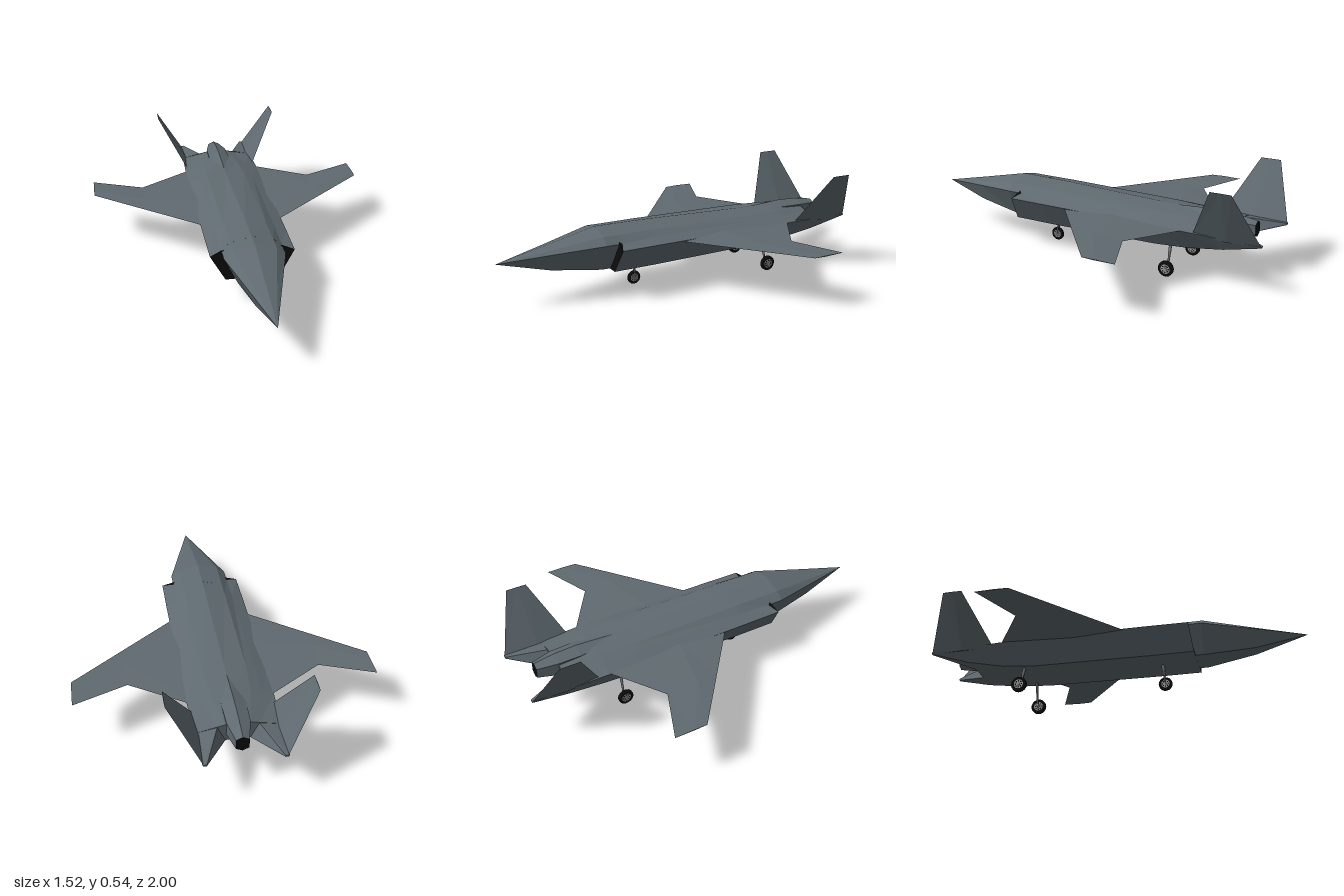
import * as THREE from 'three';

const mat = (name, color) => {
  const m = new THREE.MeshStandardMaterial({ color });
  m.name = name;
  return m;
};

// Joins rings of [x, y, z] points. Rings run clockwise when looking along the loft.
// Materials: [sides, start cap, end cap]. mirror = -1 flips the part in x.
function loft(name, rings, mats, mirror = 1) {
  const pos = [];
  const tri = (...p) => {
    if (mirror < 0) p.reverse();
    p.forEach(([x, y, z]) => pos.push(x * mirror, y, z));
  };
  const g = new THREE.BufferGeometry();
  const n = rings[0].length;
  for (let r = 0; r < rings.length - 1; r++) {
    const A = rings[r], B = rings[r + 1];
    for (let i = 0; i < n; i++) {
      const j = (i + 1) % n;
      tri(A[i], A[j], B[j]);
      tri(A[i], B[j], B[i]);
    }
  }
  const sides = pos.length / 3;
  const first = rings[0], last = rings[rings.length - 1];
  for (let i = 1; i < n - 1; i++) tri(first[0], first[i + 1], first[i]);
  for (let i = 1; i < n - 1; i++) tri(last[0], last[i], last[i + 1]);
  const cap = (n - 2) * 3;
  g.addGroup(0, sides, 0);
  g.addGroup(sides, cap, 1);
  g.addGroup(sides + cap, cap, 2);
  g.setAttribute('position', new THREE.Float32BufferAttribute(pos, 3));
  g.computeVertexNormals();
  const mesh = new THREE.Mesh(g, mats);
  mesh.name = name;
  return mesh;
}

// Full symmetric ring from a right-hand half profile (centre top to centre bottom)
function ring(z, half) {
  const right = half.map(([x, y, dz = 0]) => [x, y, z + dz]);
  const left = right.slice(1, -1).reverse().map(([x, y, zz]) => [-x, y, zz]);
  return [...right, ...left];
}

function rod(name, a, b, r0, r1, material) {
  const A = new THREE.Vector3(...a), B = new THREE.Vector3(...b);
  const m = new THREE.Mesh(new THREE.CylinderGeometry(r0, r1, A.distanceTo(B), 10), material);
  m.position.copy(A).add(B).multiplyScalar(0.5);
  m.quaternion.setFromUnitVectors(new THREE.Vector3(0, 1, 0), A.sub(B).normalize());
  m.name = name;
  return m;
}

export function createModel() {
  const model = new THREE.Group();
  model.name = 'jet';
  const skin = mat('slate skin', 0x5f6a70);
  const black = mat('black', 0x0c0c0d);
  const metal = mat('strut metal', 0x6c7275);
  const rim = mat('wheel rim', 0x9a9c9c);
  const allSkin = [skin, skin, skin];

  // Faceted nose and cockpit section
  model.add(loft('nose', [
    ring(1, [[0, 0.245], [0, 0.245], [0, 0.245], [0, 0.245], [0, 0.245]]),
    ring(0.73, [[0, 0.303], [0.055, 0.289], [0.079, 0.272], [0.043, 0.18], [0, 0.18]]),
    ring(0.47, [[0, 0.36], [0.11, 0.333], [0.155, 0.297], [0.085, 0.15], [0, 0.15]]),
    ring(0.3, [[0, 0.358], [0.11, 0.331], [0.155, 0.295], [0.085, 0.15], [0, 0.15]]),
  ], allSkin));

  // Main body; its front cap forms the black air intakes beside the nose
  model.add(loft('fuselage', [
    ring(0.41, [[0, 0.359, -0.03], [0.11, 0.332, -0.03], [0.155, 0.296, -0.025],
      [0.215, 0.279], [0.14, 0.148, 0.015], [0, 0.148, 0.015]]),
    ring(0.2, [[0, 0.356], [0.11, 0.331], [0.155, 0.304], [0.217, 0.279], [0.14, 0.147], [0, 0.147]]),
    ring(-0.42, [[0, 0.332], [0.11, 0.318], [0.155, 0.302], [0.217, 0.277], [0.14, 0.152], [0, 0.152]]),
    ring(-0.6, [[0, 0.329], [0.1, 0.312], [0.15, 0.296], [0.215, 0.274], [0.145, 0.165], [0, 0.165]]),
    ring(-0.8, [[0, 0.315], [0.06, 0.302], [0.1, 0.289], [0.207, 0.268], [0.165, 0.2], [0, 0.205]]),
  ], [skin, black, skin]));

  // Ridged spine that runs into the exhaust nozzle
  const nozzle = (z, w, top, shoulder, low, bottom) =>
    ring(z, [[0, top], [w, shoulder], [w, low], [0, bottom]]);
  model.add(loft('exhaustNozzle', [
    nozzle(-0.46, 0.03, 0.33, 0.318, 0.26, 0.24),
    nozzle(-0.68, 0.06, 0.342, 0.316, 0.24, 0.21),
    nozzle(-0.8, 0.057, 0.336, 0.312, 0.24, 0.218),
    nozzle(-0.91, 0.032, 0.318, 0.302, 0.25, 0.235),
  ], [skin, skin, black]));

  // Diamond aerofoil section at span x
  const foil = (x, front, back, y, top, low) => {
    const mid = front + (back - front) * 0.4;
    return [[x, top, mid], [x, y, front], [x, low, mid], [x, y, back]];
  };
  const fin = (x, y, front, back, t) => {
    const mid = (front + back) / 2;
    return [[x, y, front], [x + t, y, mid], [x, y, back], [x - t, y, mid]];
  };

  for (const s of [1, -1]) {
    const side = s > 0 ? 'left' : 'right';
    model.add(loft(side + 'Wing', [
      foil(0.17, 0.105, -0.62, 0.274, 0.287, 0.26),
      foil(0.485, -0.143, -0.42, 0.277, 0.284, 0.27),
      foil(0.76, -0.36, -0.53, 0.28, 0.282, 0.278),
    ], allSkin, s));

    model.add(loft(side + 'TailBoom', [
      [[0.1, 0.289, -0.8], [0.207, 0.268, -0.8], [0.165, 0.2, -0.8], [0.06, 0.203, -0.8]],
      [[0.18, 0.264, -1], [0.2, 0.263, -1], [0.195, 0.255, -1], [0.18, 0.255, -1]],
    ], allSkin, s));

    model.add(loft(side + 'TailFin', [
      fin(0.192, 0.255, -0.645, -1, 0.012),
      fin(0.348, 0.54, -0.79, -0.895, 0.001),
    ], allSkin, s));
  }

  // Wheel with rounded tyre, pale rim and dark openings on both faces
  function wheel(r, width) {
    const g = new THREE.Group();
    g.name = 'wheel';
    const h = width / 2;
    const profile = [[0.55, -0.8], [0.85, -1], [1, -0.6], [1, 0.6], [0.85, 1], [0.55, 0.8]]
      .map(([a, b]) => new THREE.Vector2(a * r, b * h));
    const tyre = new THREE.Mesh(new THREE.LatheGeometry(profile, 24), black);
    tyre.name = 'tyre';
    const disc = new THREE.Mesh(new THREE.CylinderGeometry(r * 0.62, r * 0.62, width * 0.84, 20), rim);
    disc.name = 'rim';
    g.add(tyre, disc);
    for (let i = 0; i < 8; i++) {
      const a = i * Math.PI / 4;
      const hole = new THREE.Mesh(new THREE.CylinderGeometry(r * 0.1, r * 0.1, width * 0.88, 8), black);
      hole.position.set(Math.cos(a) * r * 0.42, 0, Math.sin(a) * r * 0.42);
      hole.name = 'rimOpening';
      g.add(hole);
    }
    g.rotation.z = Math.PI / 2;
    return g;
  }

  // Nose gear with a fork around the wheel
  const noseGear = new THREE.Group();
  noseGear.name = 'noseGear';
  const noseWheel = wheel(0.036, 0.018);
  noseWheel.position.set(0, 0.04, 0.25);
  noseGear.add(noseWheel,
    rod('upperStrut', [0, 0.16, 0.238], [0, 0.115, 0.242], 0.009, 0.009, metal),
    rod('lowerStrut', [0, 0.12, 0.241], [0, 0.08, 0.246], 0.006, 0.006, metal),
    rod('axle', [-0.014, 0.04, 0.25], [0.014, 0.04, 0.25], 0.007, 0.007, rim));
  for (const s of [1, -1]) {
    noseGear.add(rod('fork', [0.004 * s, 0.088, 0.245], [0.013 * s, 0.04, 0.25], 0.004, 0.004, metal));
  }
  model.add(noseGear);

  // Splayed main gear
  for (const s of [1, -1]) {
    const gear = new THREE.Group();
    gear.name = (s > 0 ? 'left' : 'right') + 'MainGear';
    const w = wheel(0.041, 0.024);
    w.position.set(0.167 * s, 0.041, -0.5);
    gear.add(w,
      rod('upperStrut', [0.1 * s, 0.175, -0.495], [0.125 * s, 0.105, -0.498], 0.008, 0.008, metal),
      rod('lowerStrut', [0.123 * s, 0.11, -0.498], [0.144 * s, 0.045, -0.5], 0.006, 0.006, metal),
      rod('axle', [0.137 * s, 0.043, -0.5], [0.182 * s, 0.041, -0.5], 0.009, 0.009, rim));
    model.add(gear);
  }
  return model;
}
